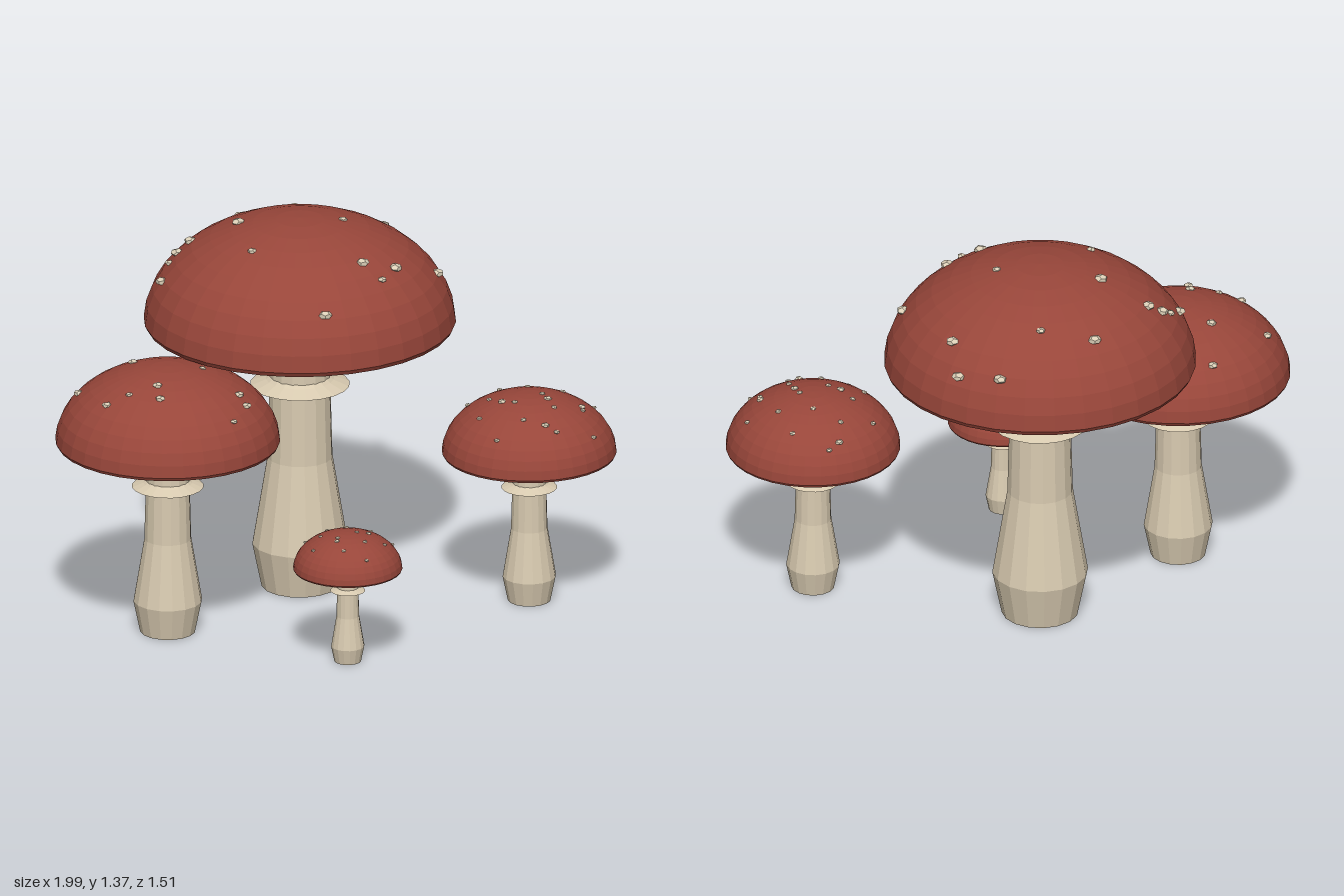
import * as THREE from 'three';
import { mergeGeometries } from 'three/addons/utils/BufferGeometryUtils.js';

const capRed = new THREE.MeshStandardMaterial({ color: 0x98463a });
const stemCream = new THREE.MeshStandardMaterial({ color: 0xd8cab0 });
const paleIvory = new THREE.MeshStandardMaterial({ color: 0xdcd0b8 });

// Cap dome of the full-size mushroom: half an ellipse above the rim
const CAP_R = 0.547, CAP_H = 0.39, RIM_Y = 0.98;

// Position, scale, main warts [x, z] seen from above, and number of extra scattered warts
const MUSHROOMS = [
  { name: 'largeMushroom', x: -0.083, z: -0.21, s: 1, extra: 5, warts: [
    [-.24, -.57], [.1, -.66], [.24, -.59], [.25, -.48], [-.5, -.32], [-.45, -.34],
    [-.29, -.28], [-.57, -.21], [.39, -.13], [.1, .06], [.22, .03], [-.06, .26]] },
  { name: 'mediumMushroom', x: -0.605, z: 0.178, s: 0.72, extra: 4, warts: [
    [-.84, .32], [-.91, .11], [-.71, .06], [-.7, -.11], [-.66, .31], [-.66, .38], [-.37, .3], [-.35, .34]] },
  { name: 'smallMushroom', x: 0.69, z: 0.05, s: 0.56, extra: 17, warts: [
    [.62, -.18], [.59, .08], [.75, .09], [.87, .09], [.72, .24]] },
  { name: 'tinyMushroom', x: -0.024, z: 0.563, s: 0.35, extra: 14, warts: [[-.07, .62], [.05, .56]] },
];

// Faceted surface of revolution; profile runs from bottom to top
function facetedLathe(profile, sides) {
  const geo = new THREE.LatheGeometry(profile.map(([r, y]) => new THREE.Vector2(r, y)), sides).toNonIndexed();
  geo.computeVertexNormals();
  return geo;
}

function capGeometry() {
  const profile = [[0, RIM_Y + 0.004], [CAP_R * 0.96, RIM_Y - 0.006], [CAP_R * 0.985, RIM_Y - 0.004]];
  const rings = 10;
  for (let i = 0; i <= rings; i++) {
    const a = 0.03 + (i / rings) * (Math.PI / 2 - 0.03);
    profile.push([i === rings ? 0 : CAP_R * Math.cos(a), RIM_Y + CAP_H * Math.sin(a)]);
  }
  return facetedLathe(profile, 32);
}

// Thin triangular blades radiating from the stem to the rim
function gillsGeometry(count = 54) {
  const blade = new THREE.Shape([
    new THREE.Vector2(0.07, 0.925), new THREE.Vector2(0.3, 0.943),
    new THREE.Vector2(0.515, 0.972), new THREE.Vector2(0.07, 0.982)]);
  const blades = [];
  for (let i = 0; i < count; i++) {
    const geo = new THREE.ExtrudeGeometry(blade, { depth: 0.004, bevelEnabled: false });
    blades.push(geo.translate(0, 0, -0.002).rotateY((i / count) * Math.PI * 2));
  }
  return mergeGeometries(blades);
}

// Flattened pebble resting on the dome, in the mushroom's own scale
function wart(px, pz, r, turn) {
  const k = (px * px + pz * pz) / (CAP_R * CAP_R);
  return new THREE.DodecahedronGeometry(r, 0)
    .rotateY(turn)
    .scale(1, 0.6, 1)
    .translate(px, RIM_Y + CAP_H * Math.sqrt(Math.max(0, 1 - k)), pz);
}

// Main warts at their places, smaller ones spread by the golden angle
function wartsGeometry({ x, z, s, warts, extra }) {
  const pebbles = warts.map(([wx, wz], i) => wart((wx - x) / s, (wz - z) / s, 0.022 + 0.002 / s, i * 1.7));
  for (let i = 0; i < extra; i++) {
    const angle = i * 2.4, reach = CAP_R * 0.88 * Math.sqrt((i + 0.5) / extra);
    pebbles.push(wart(reach * Math.cos(angle), reach * Math.sin(angle), 0.012 + 0.004 / s, angle));
  }
  return mergeGeometries(pebbles);
}

export function createModel() {
  const model = new THREE.Group();
  model.name = 'mushroomCluster';

  const cap = capGeometry();
  const gills = gillsGeometry();
  const stem = facetedLathe([[0, 0], [0.135, 0], [0.168, 0.16], [0.115, 0.48], [0.103, 0.93], [0, 0.93]], 16);
  const ring = facetedLathe([[0.1, 0.728], [0.125, 0.732], [0.175, 0.75], [0.12, 0.772], [0.1, 0.787]], 20);

  for (const spec of MUSHROOMS) {
    const group = new THREE.Group();
    group.name = spec.name;
    const add = (name, geo, mat) => {
      const mesh = new THREE.Mesh(geo, mat);
      mesh.name = name;
      group.add(mesh);
    };
    add('stem', stem, stemCream);
    add('stemRing', ring, stemCream);
    add('cap', cap, capRed);
    add('gills', gills, paleIvory);
    add('warts', wartsGeometry(spec), paleIvory);
    group.position.set(spec.x, 0, spec.z);
    group.scale.setScalar(spec.s);
    model.add(group);
  }
  return model;
}
